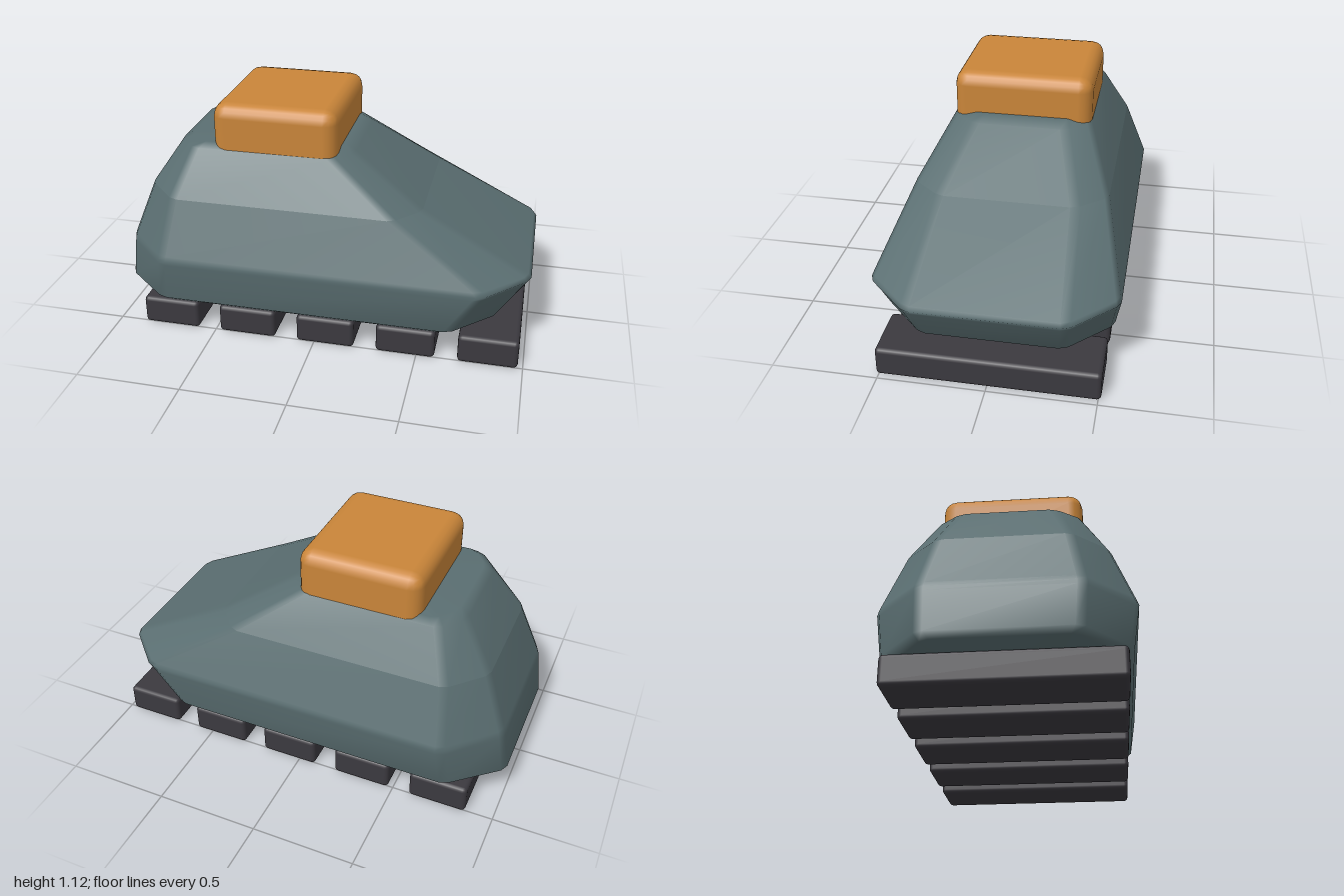
import * as THREE from 'three';
import { RoundedBoxGeometry } from 'three/addons/geometries/RoundedBoxGeometry.js';

const mat = (name, color) => {
  const m = new THREE.MeshStandardMaterial({ color });
  m.name = name;
  return m;
};

// Eight-sided ring, counter-clockwise from above, each corner split into a narrow bevel.
// xl/xr: end faces, hz: half width, cl/cr: x where the long sides end, zl/zr: half width of the ends
function ring([y, xl, xr, hz, cl, cr, zl, zr]) {
  const c = [[xr, zr], [xr, -zr], [cr, -hz], [cl, -hz], [xl, -zl], [xl, zl], [cl, hz], [cr, hz]]
    .map(([x, z]) => new THREE.Vector3(x, y, z));
  const out = [];
  c.forEach((p, i) => {
    for (const q of [c[(i + 7) % 8], c[(i + 1) % 8]]) {
      const d = p.distanceTo(q);
      out.push(p.clone().lerp(q, Math.min(0.025 / d, 0.3)));
    }
  });
  return out;
}

// Skin over the rings, closed at both ends; a repeated ring makes a hard crease
function loft(rows) {
  const rings = rows.map(ring), n = rings[0].length, last = rows.length - 1;
  const pts = rings.flat(), index = [];
  for (let j = 0; j < last; j++) {
    if (rows[j] === rows[j + 1]) continue;
    for (let i = 0; i < n; i++) {
      const a = j * n + i, b = j * n + (i + 1) % n;
      index.push(a, b, b + n, a, b + n, a + n);
    }
  }
  for (const [j, up] of [[0, false], [last, true]]) {
    const [y, xl, xr] = rows[j];
    const mid = pts.push(new THREE.Vector3((xl + xr) / 2, y, 0)) - 1;
    for (let i = 0; i < n; i++) {
      const a = j * n + i, b = j * n + (i + 1) % n;
      index.push(mid, up ? a : b, up ? b : a);
    }
  }
  const g = new THREE.BufferGeometry().setFromPoints(pts);
  g.setIndex(index);
  g.computeVertexNormals();
  return g;
}

export function createModel() {
  const root = new THREE.Group();
  const hullMat = mat('slate green', 0x5a6e71);
  const cabMat = mat('orange', 0xc98539);
  const treadMat = mat('charcoal', 0x3b393f);

  const add = (name, geo, material, x = 0, y = 0, z = 0) => {
    const m = new THREE.Mesh(geo, material);
    m.name = name;
    m.position.set(x, y, z);
    root.add(m);
  };

  // Hull: wedge body with chamfered corners
  const shoulder = [0.675, -0.862, 0.48, 0.46, -0.70, 0.36, 0.29, 0.32];
  add('hull', loft([
    [0.145, -0.975, 0.81, 0.50, -0.73, 0.62, 0.31, 0.31],
    [0.172, -1.0, 0.86, 0.537, -0.76, 0.65, 0.33, 0.33],
    [0.37, -0.972, 0.985, 0.565, -0.74, 0.77, 0.34, 0.35],
    [0.392, -0.968, 1.0, 0.568, -0.738, 0.79, 0.34, 0.355],
    [0.412, -0.962, 0.985, 0.561, -0.736, 0.775, 0.337, 0.353],
    shoulder, shoulder,
    [0.895, -0.715, 0.14, 0.338, -0.62, 0.055, 0.215, 0.22],
    [0.922, -0.67, 0.085, 0.305, -0.59, 0.01, 0.20, 0.205],
  ]), hullMat);

  // Cabin block on the roof
  add('cabin', new RoundedBoxGeometry(0.6, 0.4, 0.67, 2, 0.065), cabMat, -0.228, 0.917, 0);

  // Five cross bars underneath
  for (let i = 0; i < 5; i++) {
    add('treadBar' + (i + 1), new RoundedBoxGeometry(0.282, 0.142, 1.026, 2, 0.02), treadMat,
      -0.725 + i * 0.39, 0.071, 0);
  }
  return root;
}
